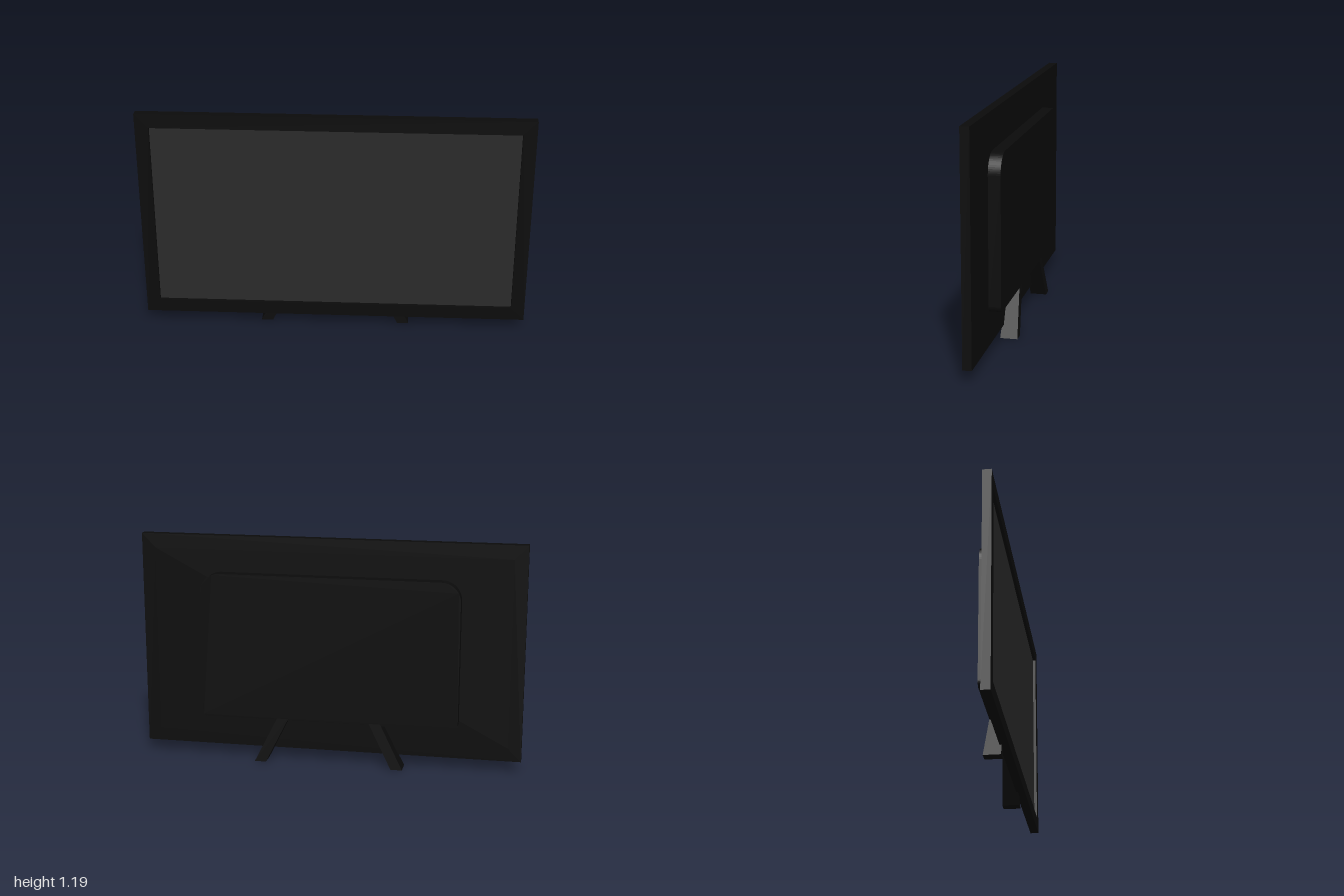
import * as THREE from 'three';

const black = new THREE.MeshStandardMaterial({ color: 0x0b0b0b });
const glass = new THREE.MeshStandardMaterial({ color: 0x2a2a2a });

// Rectangle outline; top corners use radius rt, bottom corners rb
function panelShape(x, y0, y1, rt = 0, rb = 0) {
  const s = new THREE.Shape();
  s.moveTo(-x + rb, y0);
  s.lineTo(x - rb, y0);
  if (rb) s.quadraticCurveTo(x, y0, x, y0 + rb);
  s.lineTo(x, y1 - rt);
  if (rt) s.absarc(x - rt, y1 - rt, rt, 0, Math.PI / 2);
  s.lineTo(-x + rt, y1);
  if (rt) s.absarc(-x + rt, y1 - rt, rt, Math.PI / 2, Math.PI);
  s.lineTo(-x, y0 + rb);
  if (rb) s.quadraticCurveTo(-x, y0, -x + rb, y0);
  return s;
}

function slab(name, shape, z0, z1, material) {
  const geo = new THREE.ExtrudeGeometry(shape, { depth: z1 - z0, bevelEnabled: false, curveSegments: 8 });
  const mesh = new THREE.Mesh(geo.translate(0, 0, z0), material);
  mesh.name = name;
  return mesh;
}

// Splayed leg: a box whose top leans inward and tapers in depth
function leg(side) {
  const height = 0.27;
  const geo = new THREE.BoxGeometry(0.06, height, 1).translate(0, height / 2, 0);
  const p = geo.attributes.position;
  for (let i = 0; i < p.count; i++) {
    const t = p.getY(i) / height;
    const x = p.getX(i) + side * (0.363 - 0.135 * t);
    const z = p.getZ(i) > 0 ? 0.027 - 0.011 * t : -0.061 + 0.017 * t;
    p.setXYZ(i, x, p.getY(i), z);
  }
  geo.computeVertexNormals();
  const mesh = new THREE.Mesh(geo, black);
  mesh.name = side > 0 ? 'leftLeg' : 'rightLeg';
  return mesh;
}

export function createModel() {
  const group = new THREE.Group();
  group.name = 'television';

  // Bezel with an opening for the recessed screen
  const bezel = panelShape(1, 0.06, 1.19);
  bezel.holes.push(panelShape(0.93, 0.13, 1.117));
  group.add(slab('bezel', bezel, 0.015, 0.06, black));
  group.add(slab('screen', panelShape(0.93, 0.13, 1.117), 0.025, 0.045, glass));

  // Rear cover and the electronics housing on it
  group.add(slab('rearCover', panelShape(0.93, 0.13, 1.117), 0.015, 0.025, black));
  group.add(slab('rearHousing', panelShape(0.675, 0.23, 1, 0.1, 0.03), -0.046, 0.015, black));

  for (const side of [-1, 1]) group.add(leg(side));
  return group;
}
